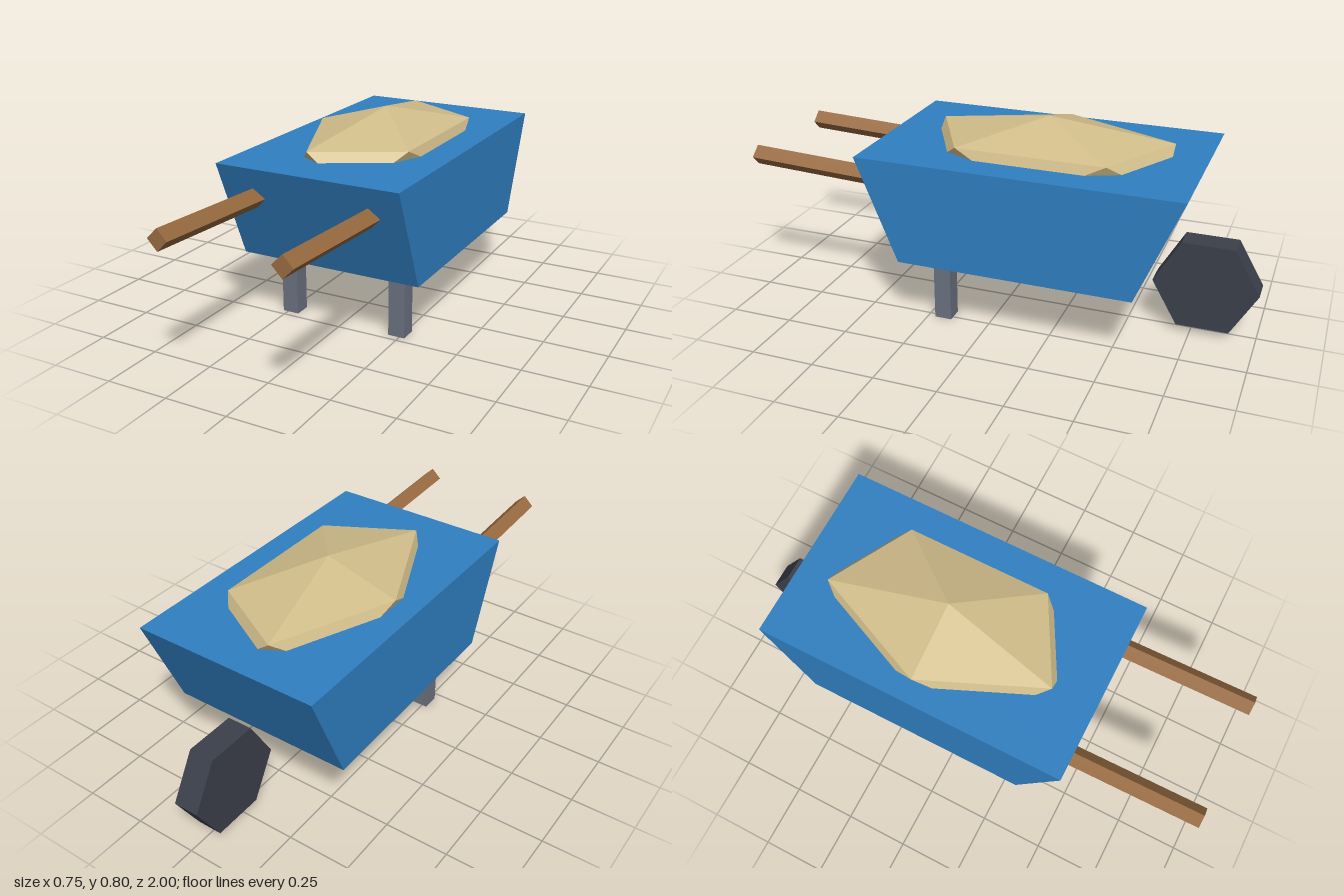
import * as THREE from 'three';
import { ConvexGeometry } from 'three/addons/geometries/ConvexGeometry.js';

const mat = (name, color) => {
  const m = new THREE.MeshStandardMaterial({ color, flatShading: true });
  m.name = name;
  return m;
};

export function createModel() {
  const blue = mat('blue paint', 0x2f7fc1);
  const sand = mat('sand', 0xd1bd8a);
  const wood = mat('wood', 0x976a40);
  const rubber = mat('dark rubber', 0x3b404b);
  const steel = mat('grey steel', 0x6b7280);

  const group = new THREE.Group();
  group.name = 'wheelbarrow';
  const add = (name, geometry, material, x = 0, y = 0, z = 0) => {
    const mesh = new THREE.Mesh(geometry, material);
    mesh.name = name;
    mesh.position.set(x, y, z);
    group.add(mesh);
    return mesh;
  };

  // Tub: side profile (-z, y) extruded across the width
  const profile = new THREE.Shape([
    [-0.322, 0.273], [0.592, 0.273], [0.762, 0.678], [-0.488, 0.678],
  ].map(([a, b]) => new THREE.Vector2(a, b)));
  const tub = new THREE.ExtrudeGeometry(profile, { depth: 0.746, bevelEnabled: false });
  tub.translate(0, 0, -0.373).rotateY(Math.PI / 2);
  add('tub', tub, blue);

  // Load: stretched icosahedron standing on a point, half sunk in the tub
  const points = [new THREE.Vector3(0, 0.154, 0), new THREE.Vector3(0, -0.154, 0)];
  for (let i = 0; i < 5; i++) {
    const a = (i * 2 * Math.PI) / 5;
    const x = 0.295 * Math.cos(a), z = 0.494 * Math.sin(a);
    points.push(new THREE.Vector3(-x, 0.069, z), new THREE.Vector3(x, -0.069, z));
  }
  add('load', new ConvexGeometry(points), sand, 0, 0.645, -0.155);

  // Wheel: hexagonal, with corners pointing fore and aft
  const wheel = new THREE.CylinderGeometry(0.202, 0.202, 0.1, 6).rotateZ(Math.PI / 2);
  add('wheel', wheel, rubber, 0, 0.205, -0.798);

  // Paired handles and legs
  const handle = new THREE.CylinderGeometry(0.04, 0.04, 0.8, 4).rotateX(Math.PI / 2 - 0.044);
  const leg = new THREE.BoxGeometry(0.068, 0.283, 0.068);
  for (const [side, s] of [['left', 1], ['right', -1]]) {
    add(side + 'Handle', handle, wood, s * 0.237, 0.559, 0.599);
    add(side + 'Leg', leg, steel, s * 0.237, 0.1415, 0.187);
  }
  return group;
}
